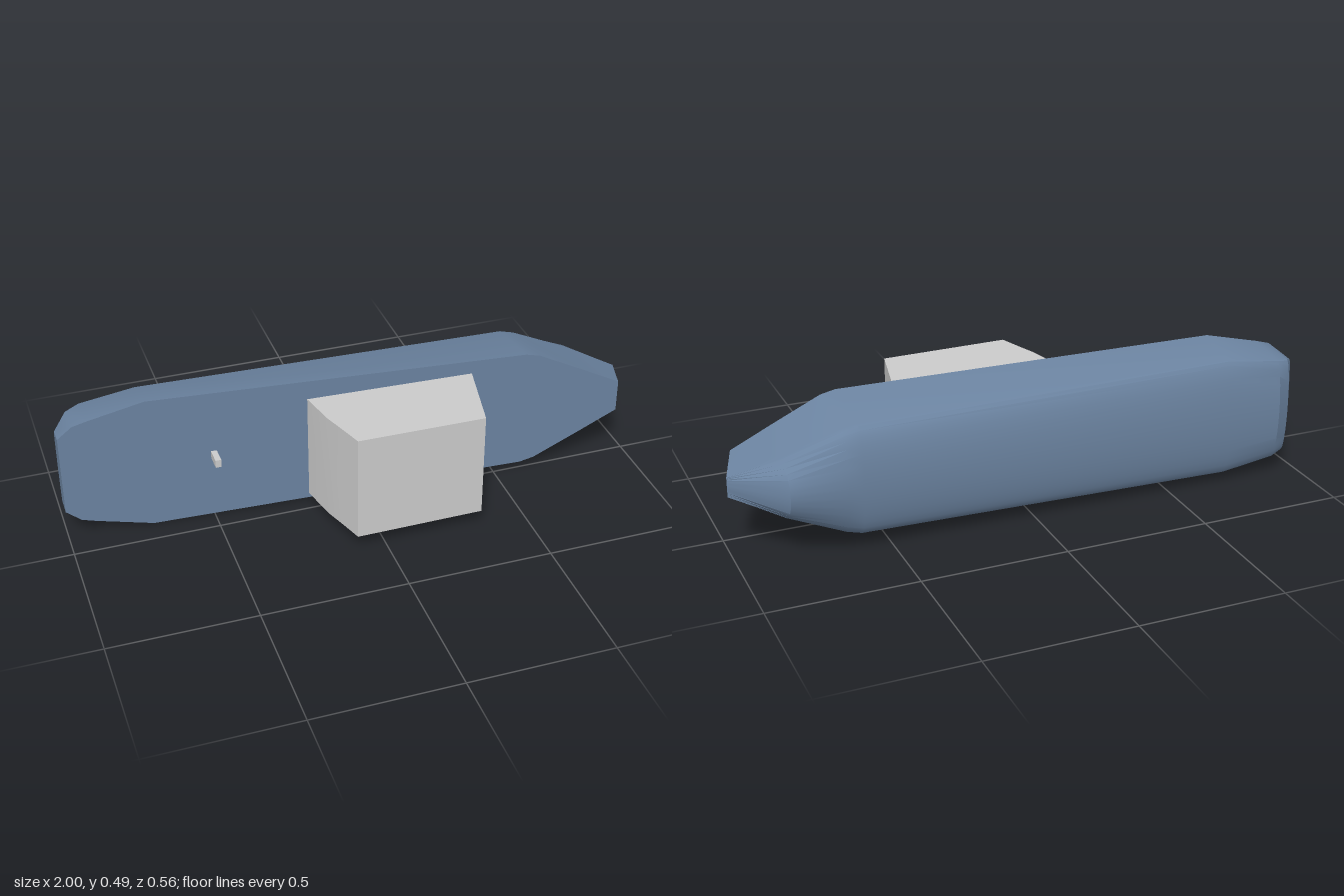
import * as THREE from 'three';
import { toCreasedNormals } from 'three/addons/utils/BufferGeometryUtils.js';

const MID = 0.246; // height of the hull's centre line

// Hull stations, stern to bow: each is deck edge, chine and keel.
// [deckX, deckHalfWidth, chineX, chineZ, chineHalfWidth, keelX, keelZ]
const STATIONS = [
  [-1, 0.145, -1, -0.165, 0.14, -1, -0.175],
  [-0.95, 0.186, -0.95, -0.225, 0.17, -0.95, -0.252],
  [-0.9, 0.2, -0.9, -0.24, 0.182, -0.9, -0.279],
  [-0.71, 0.245, -0.71, -0.237, 0.21, -0.71, -0.279],
  [0.6, 0.222, 0.6, -0.218, 0.19, 0.6, -0.279],
  [0.65, 0.21, 0.65, -0.212, 0.178, 0.65, -0.279],
  [0.81, 0.13, 0.84, -0.17, 0.102, 0.84, -0.279],
  [0.95, 0.058, 1, -0.118, 0.034, 1, -0.118],
];

const deckZ = (x) => -0.105 + (x + 1) * 0.0675;

// Closed cross-section: deck edge, chine, elliptical bottom, chine, deck edge
function section([dx, dw, cx, cz, cw, kx, kz]) {
  const steps = 16;
  const ring = [[dx, MID + dw, deckZ(dx)]];
  for (let i = 0; i <= steps; i++) {
    const a = (Math.PI * i) / steps;
    const s = Math.sin(a);
    ring.push([cx + (kx - cx) * s, MID + cw * Math.cos(a), cz + (kz - cz) * s]);
  }
  ring.push([dx, MID - dw, deckZ(dx)]);
  return ring;
}

function hullGeometry() {
  const rings = STATIONS.map(section);
  const n = rings[0].length;
  const last = rings.length - 1;
  const index = [];
  for (let i = 0; i < last; i++) {
    for (let j = 0; j < n; j++) {
      const k = (j + 1) % n;
      const a = i * n + j, b = a + n, c = i * n + k, d = c + n;
      index.push(a, b, c, b, d, c);
    }
  }
  // stern and bow faces
  for (let j = 1; j < n - 1; j++) {
    index.push(0, j, j + 1);
    index.push(last * n, last * n + j + 1, last * n + j);
  }
  const geo = new THREE.BufferGeometry();
  geo.setAttribute('position', new THREE.Float32BufferAttribute(rings.flat(2), 3));
  geo.setIndex(index);
  return toCreasedNormals(geo, 0.45);
}

// Cabin: side profile in x and z, extruded across the hull, narrowing to the bow
function cabinGeometry() {
  const profile = [[-0.18, 0.012], [0.4, -0.004], [0.34, -0.278], [-0.1, -0.278],
    [-0.125, -0.2], [-0.152, -0.12]].map(([x, z]) => new THREE.Vector2(x, -z));
  profile[0].y = -0.012;
  const height = 0.382;
  const geo = new THREE.ExtrudeGeometry(new THREE.Shape(profile), { depth: height, bevelEnabled: false });
  geo.translate(0, 0, -height / 2);
  geo.rotateX(Math.PI / 2);
  const p = geo.attributes.position;
  for (let i = 0; i < p.count; i++) p.setY(i, p.getY(i) * (1 - 0.04 * (p.getX(i) + 0.18)));
  return toCreasedNormals(geo, 0.3);
}

export function createModel() {
  const group = new THREE.Group();
  const blue = new THREE.MeshStandardMaterial({ color: 0x6b83a0 });
  const grey = new THREE.MeshStandardMaterial({ color: 0xcccccc });

  const add = (name, geo, mat, x = 0, y = 0, z = 0) => {
    const mesh = new THREE.Mesh(geo, mat);
    mesh.name = name;
    mesh.position.set(x, y, z);
    group.add(mesh);
  };

  add('hull', hullGeometry(), blue);
  add('cabin', cabinGeometry(), grey, 0, MID, 0);
  // small post on the aft deck
  add('deckPost', new THREE.BoxGeometry(0.02, 0.028, 0.065), grey, -0.492, 0.247, -0.043);

  return group;
}
